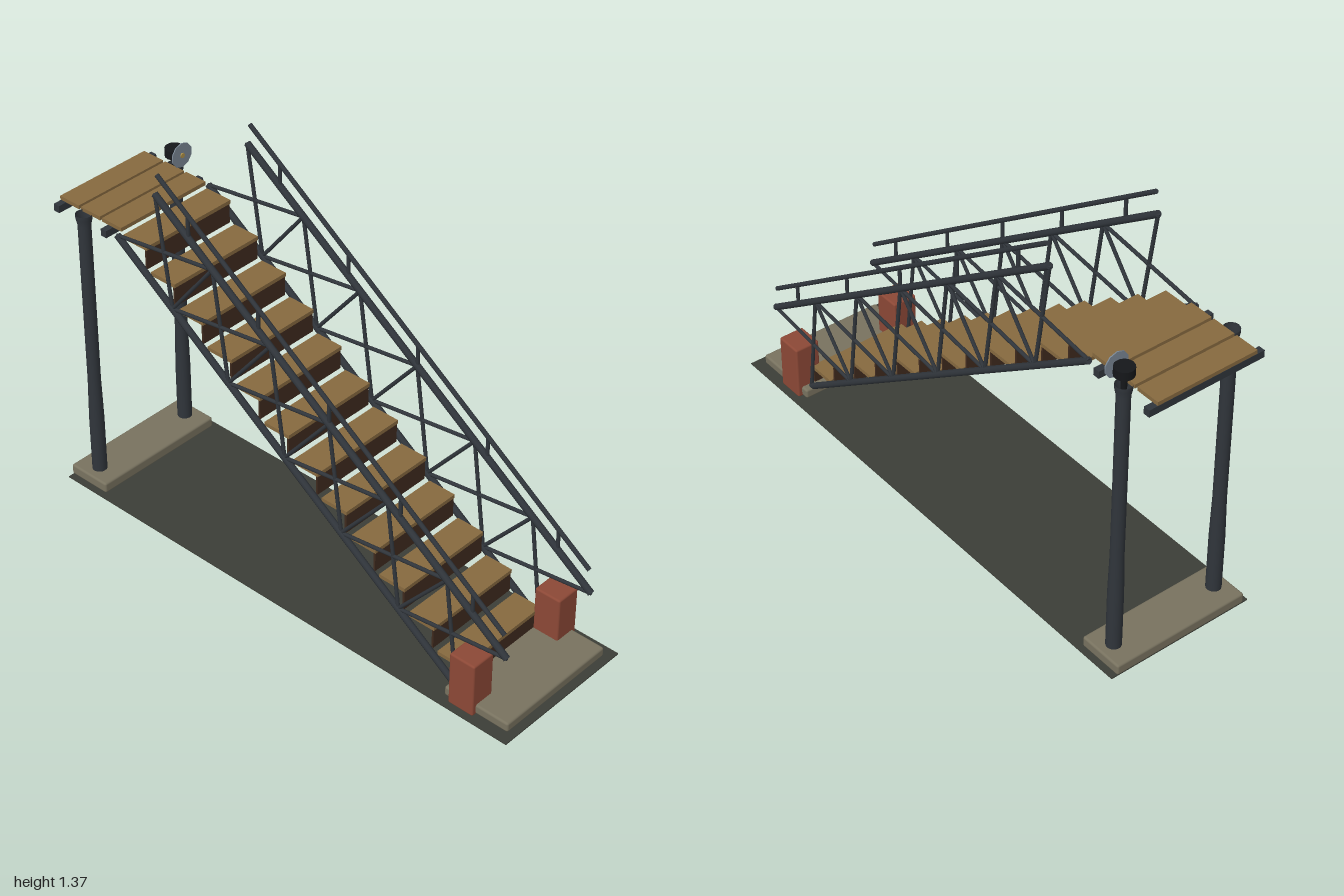
import * as THREE from 'three';
import { RoundedBoxGeometry } from 'three/addons/geometries/RoundedBoxGeometry.js';

const paint = (color) => new THREE.MeshStandardMaterial({ color });
const steel = paint(0x30353b);
const wood = paint(0x86693f);
const darkWood = paint(0x3f2a1e);
const concrete = paint(0x78725f);
const brick = paint(0x8c4836);
const black = paint(0x15171a);
const gongMetal = paint(0x7a8794);
const brass = paint(0xb0924a);
const earth = paint(0x3c3e37);

export function createModel() {
  const model = new THREE.Group();
  model.name = 'footbridgeStair';

  const add = (name, geometry, material, x, y, z, parent = model) => {
    const mesh = new THREE.Mesh(geometry, material);
    mesh.name = name;
    mesh.position.set(x, y, z);
    parent.add(mesh);
    return mesh;
  };
  const box = (name, w, h, d, material, x, y, z, parent) =>
    add(name, new THREE.BoxGeometry(w, h, d), material, x, y, z, parent);
  const block = (name, w, h, d, bevel, material, x, y, z) =>
    add(name, new RoundedBoxGeometry(w, h, d, 2, bevel), material, x, y, z);

  // Round bar between two points
  const up = new THREE.Vector3(0, 1, 0);
  const bar = (name, a, b, radius, parent) => {
    const dir = b.clone().sub(a);
    const mid = a.clone().add(b).multiplyScalar(0.5);
    const geometry = new THREE.CylinderGeometry(radius, radius, dir.length(), 8);
    const mesh = add(name, geometry, steel, mid.x, mid.y, mid.z, parent);
    mesh.quaternion.setFromUnitVectors(up, dir.normalize());
    return mesh;
  };

  // Ground strip, footings and brick piers
  box('ground', 0.56, 0.004, 1.95, earth, 0, 0.002, 0.025);
  block('frontFooting', 0.48, 0.036, 0.255, 0.008, concrete, 0, 0.022, 0.845);
  block('backFooting', 0.52, 0.04, 0.168, 0.008, concrete, 0, 0.024, -0.87);
  for (const s of [1, -1]) {
    block(s > 0 ? 'leftPier' : 'rightPier', 0.094, 0.204, 0.1, 0.007, brick, s * 0.208, 0.102, 0.795);
  }

  // Stair flight: treads with a riser under each front edge
  const steps = 12, run = 0.1227, rise = 0.0865;
  const stairs = new THREE.Group();
  stairs.name = 'stairs';
  model.add(stairs);
  for (let i = 0; i < steps; i++) {
    const y = 0.108 + i * rise;
    const z = 0.75 - i * run;
    box('tread', 0.38, 0.014, 0.106, wood, 0, y - 0.007, z - 0.053, stairs);
    box('riser', 0.376, rise - 0.012, 0.007, darkWood, 0, y - 0.012 - (rise - 0.012) / 2, z - 0.006, stairs);
  }

  // Side trusses with handrails
  const bays = 6;
  for (const s of [1, -1]) {
    const truss = new THREE.Group();
    truss.name = s > 0 ? 'leftTruss' : 'rightTruss';
    model.add(truss);
    const x = s * 0.206;
    const lineOf = (y0, z0, y1, z1) => (t) =>
      new THREE.Vector3(x, y0 + (y1 - y0) * t, z0 + (z1 - z0) * t);
    const low = lineOf(0.034, 0.735, 1.062, -0.715);
    const high = lineOf(0.26, 0.93, 1.294, -0.533);
    const rail = lineOf(0.348, 0.917, 1.368, -0.52);

    bar('lowerChord', low(0), low(1), 0.012, truss);
    bar('upperChord', high(0), high(1), 0.012, truss);
    bar('handrail', rail(0), rail(1), 0.008, truss);

    // Crossed diagonals in each bay, struts at the inner nodes
    for (let i = 0; i < bays; i++) {
      bar('diagonal', high(i / bays), low((i + 1) / bays), 0.0065, truss);
      bar('diagonal', low(i / bays), high((i + 1) / bays), 0.0065, truss);
      if (i > 0) bar('strut', low(i / bays), high(i / bays), 0.0065, truss);
    }

    // Upright posts carrying the handrail
    for (let i = 0; i < 5; i++) {
      const z = 0.79 - i * 0.295;
      const foot = high((0.93 - z) / 1.463);
      const head = rail((0.917 - z) / 1.437);
      bar('railPost', foot, head, 0.0065, truss);
    }
  }

  // Upper landing: three planks on two cross beams
  for (let i = 0; i < 3; i++) {
    box('landingPlank', 0.38, 0.014, 0.088, wood, 0, 1.075, -0.757 - i * 0.0985);
  }
  for (const z of [-0.765, -0.985]) {
    box('landingBeam', 0.44, 0.026, 0.024, steel, 0, 1.053, z);
  }

  // Open tube columns with a thicker foot and a flared head
  const tube = steel.clone();
  tube.side = THREE.DoubleSide;
  const profile = [
    [0.026, 0.042], [0.026, 0.26], [0.0225, 0.42], [0.0225, 1.035], [0.028, 1.062], [0.028, 1.076],
  ].map(([r, y]) => new THREE.Vector2(r, y));
  for (const s of [1, -1]) {
    const name = s > 0 ? 'leftColumn' : 'rightColumn';
    add(name, new THREE.LatheGeometry(profile, 16), tube, s * 0.206, 0, -0.87);
  }

  // Gong and its drum on the left column
  const bell = new THREE.Group();
  bell.name = 'bell';
  bell.position.set(0.206, 1.125, -0.87);
  model.add(bell);
  add('bellPost', new THREE.CylinderGeometry(0.01, 0.01, 0.06, 10), black, 0, -0.035, 0, bell);
  add('bellDrum', new THREE.CylinderGeometry(0.033, 0.033, 0.03, 16), black, 0, 0, 0, bell);
  const gong = add('gong', new THREE.CylinderGeometry(0.045, 0.045, 0.004, 10), gongMetal, 0, 0, 0.034, bell);
  gong.rotation.x = Math.PI / 2;
  const hub = add('gongHub', new THREE.CylinderGeometry(0.009, 0.009, 0.008, 10), brass, 0, 0, 0.036, bell);
  hub.rotation.x = Math.PI / 2;

  return model;
}
